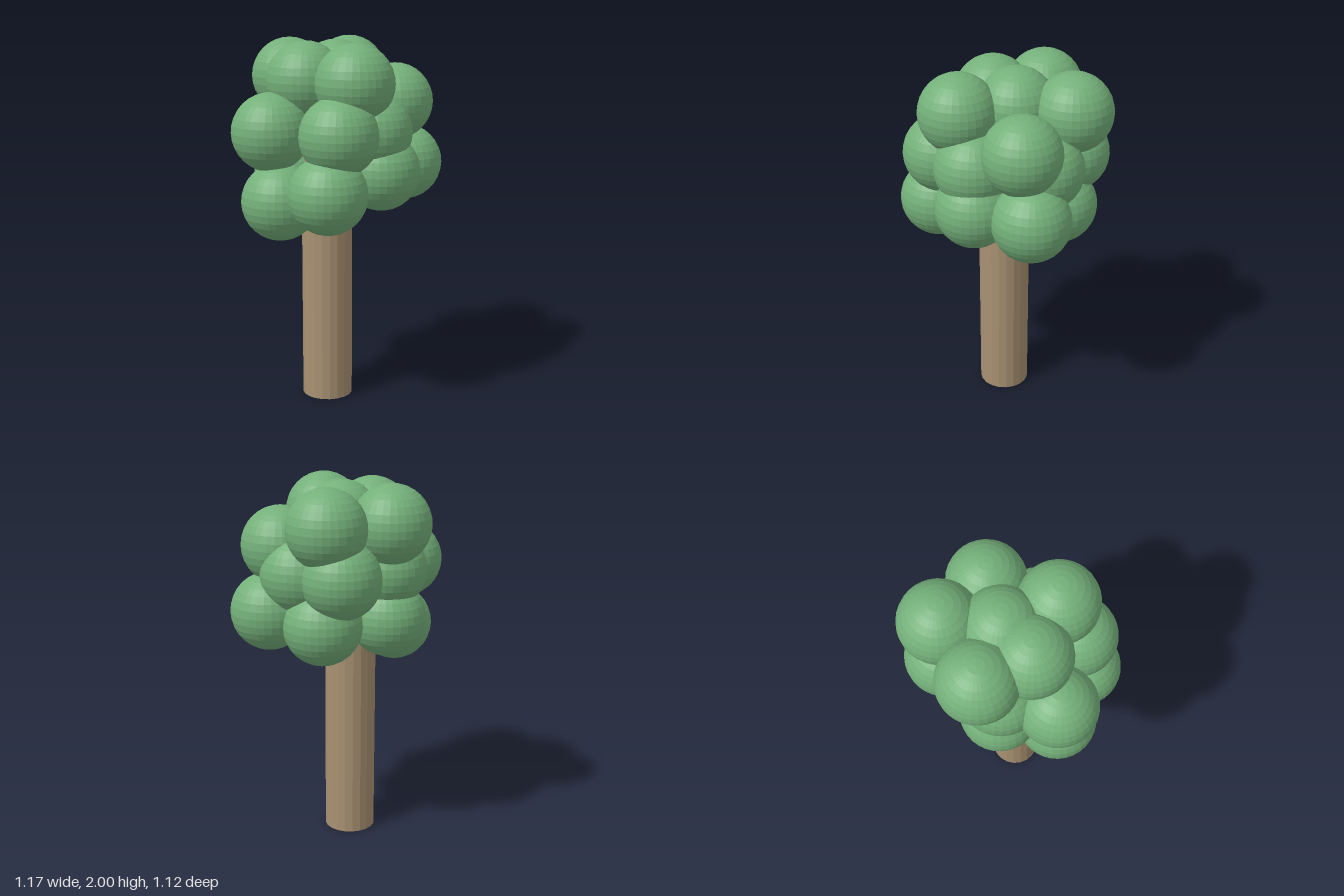
import * as THREE from 'three';

export function createModel() {
  const leaf = new THREE.MeshStandardMaterial({ color: 0x74b07a, flatShading: true });
  leaf.name = 'leafGreen';
  const bark = new THREE.MeshStandardMaterial({ color: 0xa89172, flatShading: true });
  bark.name = 'barkBrown';

  const tree = new THREE.Group();
  tree.name = 'tree';

  // Straight trunk, reaching up into the crown
  const height = 1.4;
  const trunk = new THREE.Mesh(new THREE.CylinderGeometry(0.14, 0.14, height, 20), bark);
  trunk.name = 'trunk';
  trunk.position.set(-0.067, height / 2, -0.008);
  tree.add(trunk);

  // Crown of equal overlapping leaf balls
  const crown = new THREE.Group();
  crown.name = 'crown';
  const ball = new THREE.SphereGeometry(0.21, 32, 16);
  const layers = {
    topLeaves: [
      [0.095, 1.79, -0.35], [-0.25, 1.79, -0.24], [-0.187, 1.79, 0.04],
      [-0.01, 1.79, -0.065], [0.054, 1.79, 0.24], [0.312, 1.66, -0.065],
    ],
    middleLeaves: [
      [-0.378, 1.53, 0.13], [0.02, 1.53, -0.35], [0.22, 1.53, -0.19],
      [-0.25, 1.53, -0.13], [0.16, 1.53, 0.17], [-0.038, 1.53, 0.323],
    ],
    lowerLeaves: [
      [0.376, 1.315, -0.108], [0.205, 1.315, 0.172], [0.11, 1.27, -0.28],
      [-0.25, 1.27, -0.14], [-0.098, 1.23, 0.347], [-0.333, 1.16, 0.152],
    ],
  };
  for (const [name, centres] of Object.entries(layers)) {
    const layer = new THREE.Group();
    layer.name = name;
    for (const centre of centres) {
      const mesh = new THREE.Mesh(ball, leaf);
      mesh.name = 'leafBall';
      mesh.position.set(...centre);
      layer.add(mesh);
    }
    crown.add(layer);
  }
  tree.add(crown);
  return tree;
}
